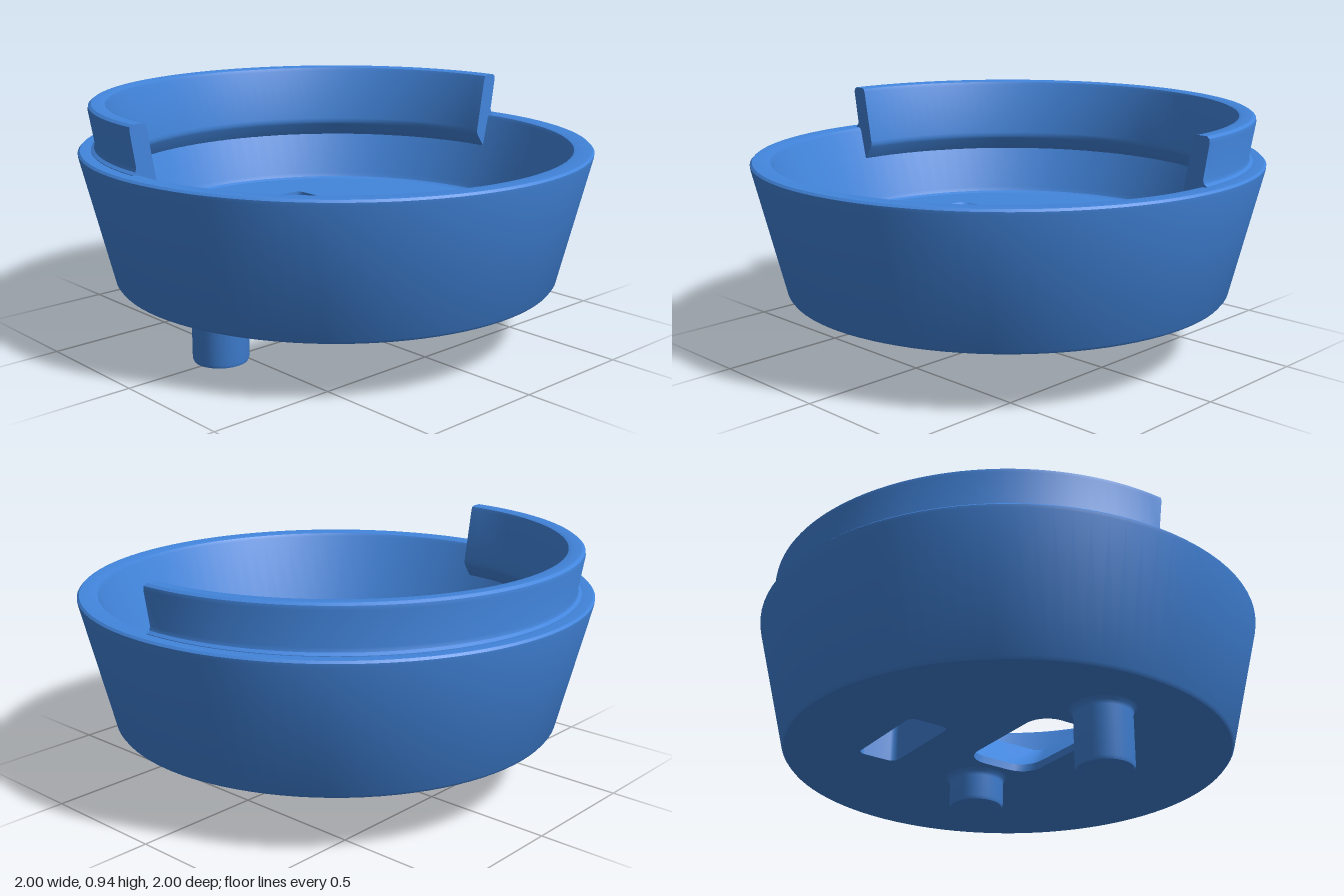
import * as THREE from 'three';
import { toCreasedNormals } from 'three/addons/utils/BufferGeometryUtils.js';

const V = (list) => list.map(([x, y]) => new THREE.Vector2(x, y));
const FLOOR = 0.43, BASE = 0.235;

// Rounded rectangle as [x, z] points, always the same count so outlines can be lofted
function roundedRect(x0, x1, z0, z1, r, steps = 6) {
  const pts = [];
  const corners = [[x1 - r, z1 - r], [x0 + r, z1 - r], [x0 + r, z0 + r], [x1 - r, z0 + r]];
  corners.forEach(([cx, cz], k) => {
    for (let i = 0; i <= steps; i++) {
      const a = (k + i / steps) * Math.PI / 2;
      pts.push([cx + r * Math.cos(a), cz + r * Math.sin(a)]);
    }
  });
  return pts;
}

// Inward-facing wall through outlines listed from top to bottom
function loftInside(rings) {
  const n = rings[0].pts.length, pos = [], idx = [];
  rings.forEach(({ pts, y }) => pts.forEach(([x, z]) => pos.push(x, y, z)));
  for (let r = 0; r < rings.length - 1; r++) {
    for (let i = 0; i < n; i++) {
      const a = r * n + i, b = r * n + (i + 1) % n, c = a + n, d = b + n;
      idx.push(a, c, b, b, c, d);
    }
  }
  const geo = new THREE.BufferGeometry();
  geo.setAttribute('position', new THREE.Float32BufferAttribute(pos, 3));
  geo.setIndex(idx);
  geo.computeVertexNormals();
  return toCreasedNormals(geo, 0.5);
}

// Horizontal disc with openings, facing up (side 1) or down (side -1)
function disc(radius, holes, y, side) {
  const shape = new THREE.Shape();
  shape.absarc(0, 0, radius, 0, Math.PI * 2);
  holes.forEach((h) => shape.holes.push(new THREE.Path(V(h.map(([x, z]) => [x, -side * z])))));
  return new THREE.ShapeGeometry(shape, 96).rotateX(-side * Math.PI / 2).translate(0, y, 0);
}

export function createModel() {
  const group = new THREE.Group();
  const blue = new THREE.MeshStandardMaterial({ color: 0x4285dc });
  blue.name = 'blue';
  const add = (name, geo, parent = group) => {
    const mesh = new THREE.Mesh(geo, blue);
    mesh.name = name;
    parent.add(mesh);
    return mesh;
  };
  const lathe = (pts, seg, start, length) =>
    toCreasedNormals(new THREE.LatheGeometry(V(pts), seg, start, length), 0.6);

  // Tapered cup wall: outside, rim, inside
  add('cupWall', lathe([
    [0.855, BASE], [0.868, 0.238], [0.877, 0.25], [0.997, 0.745], [0.998, 0.757], [0.99, 0.765],
    [0.932, 0.765], [0.922, 0.762], [0.915, 0.75], [0.846, 0.455], [0.838, 0.437], [0.825, FLOOR],
  ], 96));

  // Floor with a sloped pocket and a small slot
  const pocketTop = roundedRect(-0.585, 0.22, -0.31, 0.32, 0.04);
  const pocketHole = roundedRect(-0.43, 0.07, -0.155, 0.145, 0.09);
  const slot = roundedRect(-0.135, 0.26, -0.525, -0.36, 0.03);
  add('floorTop', disc(0.826, [pocketTop, slot], FLOOR, 1));
  add('floorUnderside', disc(0.856, [pocketHole, slot], BASE, -1));
  add('pocket', loftInside([
    { pts: pocketTop, y: FLOOR }, { pts: pocketHole, y: 0.265 }, { pts: pocketHole, y: BASE },
  ]));
  add('slotWalls', loftInside([{ pts: slot, y: FLOOR }, { pts: slot, y: BASE }]));

  // Raised lip around the back half, with closed ends
  const lip = new THREE.Group();
  lip.name = 'backLip';
  group.add(lip);
  const section = [
    [0.9, 0.61], [0.95, 0.75], [0.948, 0.767], [0.936, 0.775], [0.932, 0.79], [0.953, 0.92],
    [0.951, 0.934], [0.94, 0.942], [0.9, 0.942], [0.889, 0.938], [0.884, 0.925],
    [0.846, 0.71], [0.845, 0.695], [0.85, 0.682], [0.9, 0.61],
  ];
  add('lipRing', lathe(section, 64, Math.PI / 2, Math.PI), lip);
  for (const s of [1, -1]) {
    const end = new THREE.Shape(V(section.slice(0, -1).map(([x, y]) => [s * x, y])));
    add(s > 0 ? 'lipEndLeft' : 'lipEndRight', new THREE.ShapeGeometry(end), lip);
  }

  // Two round pegs below the base, one longer
  for (const [name, x, y] of [['longPeg', -0.588, 0], ['shortPeg', 0.222, 0.105]]) {
    const peg = add(name, lathe([
      [0, y], [0.09, y], [0.102, y + 0.005], [0.107, y + 0.018],
      [0.107, 0.21], [0.112, 0.225], [0.125, 0.236],
    ], 40));
    peg.position.x = x;
  }
  return group;
}
